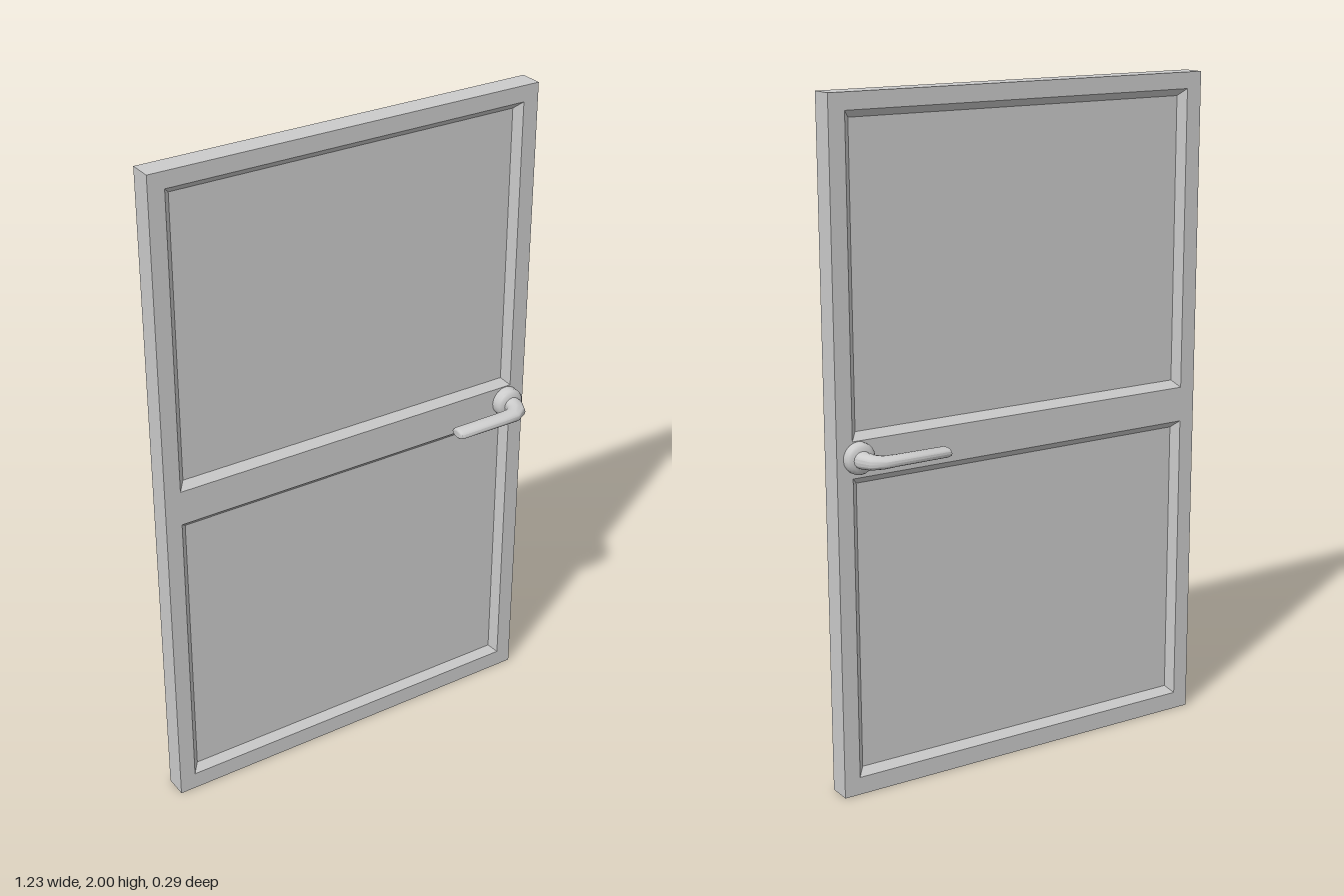
import * as THREE from 'three';
import { toCreasedNormals } from 'three/addons/utils/BufferGeometryUtils.js';

const W = 0.615, H = 2, Z0 = -0.039, Z1 = 0.031; // door outline and faces
const MID = (Z0 + Z1) / 2, HALF = (Z1 - Z0) / 2;
const OPEN_X = 0.566, BEVEL = 0.021, PANEL = 0.013; // opening half width, bevel width, panel half depth
const OPENINGS = [[0.053, 0.947], [1.053, 1.952]]; // bottom and top of each opening
const HANDLE_X = 0.549, HANDLE_Y = 1.005;

const material = new THREE.MeshStandardMaterial({ color: 0xcccccc });

function addMesh(parent, name, geometry) {
  const mesh = new THREE.Mesh(geometry, material);
  mesh.name = name;
  parent.add(mesh);
  return mesh;
}

// Skin a row of cross-section loops; each loop turns anticlockwise about the row's direction
function loft(loops) {
  const n = loops[0].length, index = [];
  for (let i = 0; i < loops.length - 1; i++) {
    for (let j = 0; j < n; j++) {
      const k = (j + 1) % n;
      const a = i * n + j, b = i * n + k, c = a + n, d = b + n;
      index.push(a, b, c, b, d, c);
    }
  }
  const geo = new THREE.BufferGeometry();
  geo.setAttribute('position', new THREE.Float32BufferAttribute(loops.flat(2), 3));
  geo.setIndex(index);
  geo.computeVertexNormals();
  return geo;
}

function rectPath(path, x, y0, y1) {
  path.moveTo(-x, y0).lineTo(x, y0).lineTo(x, y1).lineTo(-x, y1).closePath();
  return path;
}

// Stiles and rails in one piece with two openings
function frameGeometry() {
  const shape = rectPath(new THREE.Shape(), W, 0, H);
  for (const [y0, y1] of OPENINGS) shape.holes.push(rectPath(new THREE.Path(), OPEN_X, y0, y1));
  const geo = new THREE.ExtrudeGeometry(shape, { depth: Z1 - Z0, bevelEnabled: false });
  return geo.translate(0, 0, Z0);
}

// Mitred sloping border from the frame face down to the panel
function bevelGeometry(height) {
  const loop = (inset, z) => [[-1, -1], [1, -1], [1, 1], [-1, 1]].map(
    ([sx, sy]) => [sx * (OPEN_X - inset), sy * (height / 2 - inset), z]);
  return toCreasedNormals(loft([loop(0, HALF), loop(BEVEL, PANEL)]), 0.5);
}

// Flattened oval bar: leaves the rose, bends and runs across the door
function leverGeometry() {
  // offset x, z, half width, half height
  const stations = [
    [0, 0.05, 0.0275, 0.026], [0, 0.078, 0.0275, 0.024],
    [-0.012, 0.103, 0.028, 0.021], [-0.036, 0.1175, 0.0275, 0.018],
    [-0.08, 0.1185, 0.0275, 0.016], [-0.232, 0.1185, 0.0275, 0.015],
    [-0.239, 0.1185, 0.025, 0.0125], [-0.242, 0.1185, 0.019, 0.009],
    [-0.242, 0.1185, 0, 0],
  ];
  const sides = 16, last = stations.length - 1;
  const loops = stations.map(([x, z, w, h], i) => {
    const p = stations[Math.max(i - 1, 0)], q = stations[Math.min(i + 1, last)];
    let tx = q[0] - p[0], tz = q[1] - p[1];
    if (i >= 4) { tx = -1; tz = 0; }
    const len = Math.hypot(tx, tz);
    return Array.from({ length: sides }, (_, j) => {
      const t = (j / sides) * Math.PI * 2, c = w * Math.cos(t);
      return [x + (tz / len) * c, h * Math.sin(t), z - (tx / len) * c];
    });
  });
  return toCreasedNormals(loft(loops), 0.8);
}

// Round rose with a rounded shoulder
function roseGeometry() {
  const profile = [[0.046, 0.025], [0.046, 0.053], [0.042, 0.06], [0.034, 0.066], [0, 0.067]]
    .map(([r, y]) => new THREE.Vector2(r, y));
  return toCreasedNormals(new THREE.LatheGeometry(profile, 20).rotateX(Math.PI / 2), 0.7);
}

export function createModel() {
  const door = new THREE.Group();
  door.name = 'door';
  addMesh(door, 'frame', frameGeometry());

  // Recessed panels with a sloping border on both faces
  OPENINGS.forEach(([y0, y1], i) => {
    const group = new THREE.Group();
    group.name = i ? 'upperPanel' : 'lowerPanel';
    group.position.set(0, (y0 + y1) / 2, MID);
    const height = y1 - y0;
    addMesh(group, 'panel',
      new THREE.BoxGeometry((OPEN_X - BEVEL) * 2, height - BEVEL * 2, PANEL * 2));
    const bevel = bevelGeometry(height);
    addMesh(group, 'frontBevel', bevel);
    addMesh(group, 'backBevel', bevel).rotation.y = Math.PI;
    door.add(group);
  });

  // The same handle on each face, turned over for the back
  const rose = roseGeometry(), lever = leverGeometry();
  for (const back of [false, true]) {
    const handle = new THREE.Group();
    handle.name = back ? 'backHandle' : 'frontHandle';
    handle.position.set(HANDLE_X, HANDLE_Y, 0);
    if (back) handle.rotation.x = Math.PI;
    addMesh(handle, 'rose', rose);
    addMesh(handle, 'lever', lever);
    door.add(handle);
  }
  return door;
}
